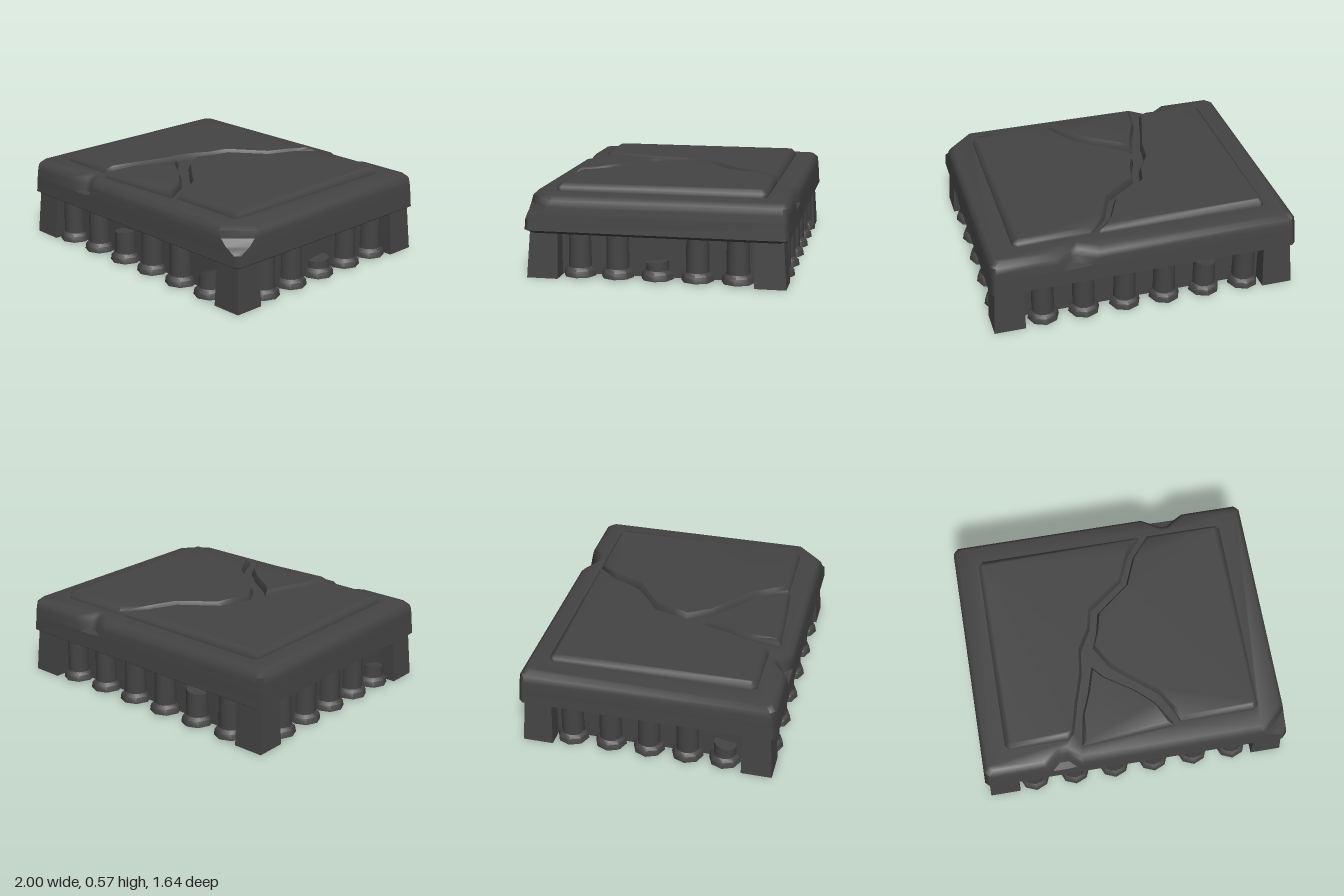
import * as THREE from 'three';
import { mergeGeometries, toCreasedNormals } from 'three/addons/utils/BufferGeometryUtils.js';

const stone = new THREE.MeshStandardMaterial({ color: 0x444444, side: THREE.DoubleSide });
stone.name = 'dark stone';

// Plan outline from [x, z] pairs, counter-clockwise seen from above (stored as x, -z)
function outline(pairs) {
  const pts = pairs.map(([x, z]) => new THREE.Vector2(x, -z));
  return THREE.ShapeUtils.isClockWise(pts) ? pts.reverse() : pts;
}

// Move each outline point inwards by depth(point), limiting sharp corners
function inset(pts, depth) {
  const n = pts.length;
  const normal = (a, b) => new THREE.Vector2(a.y - b.y, b.x - a.x).normalize();
  return pts.map((p, i) => {
    const n1 = normal(pts[(i + n - 1) % n], p);
    const n2 = normal(p, pts[(i + 1) % n]);
    const k = depth(p) / Math.max(1 + n1.dot(n2), 0.4);
    return n1.add(n2).multiplyScalar(k).add(p);
  });
}

// Area-weighted normals, kept sharp where faces meet at more than the angle
function softBevels(geometry, angle) {
  const p = geometry.attributes.position, shared = new Map(), faces = [], normals = [];
  const key = (i) => [p.getX(i), p.getY(i), p.getZ(i)].map((v) => Math.round(v * 1e4)).join();
  for (let i = 0; i < p.count; i += 3) {
    const [a, b, c] = [0, 1, 2].map((k) => new THREE.Vector3().fromBufferAttribute(p, i + k));
    const face = b.sub(a).cross(c.sub(a));
    faces.push(face);
    for (let k = 0; k < 3; k++) shared.set(key(i + k), [...(shared.get(key(i + k)) || []), face]);
  }
  for (let i = 0; i < p.count; i++) {
    const own = faces[Math.floor(i / 3)], sum = new THREE.Vector3();
    for (const f of shared.get(key(i))) if (f === own || f.angleTo(own) < angle) sum.add(f);
    normals.push(...sum.normalize().toArray());
  }
  geometry.setAttribute('normal', new THREE.Float32BufferAttribute(normals, 3));
  return geometry;
}

// Open-bottomed shell through level rings [{ y, pts }], optionally capped on top
function loft(rings, { holes = [], capped = true, crease = 0.45 } = {}) {
  const pos = [];
  for (let r = 0; r < rings.length - 1; r++) {
    const a = rings[r], b = rings[r + 1], n = a.pts.length;
    for (let i = 0; i < n; i++) {
      const j = (i + 1) % n;
      const v = [[a, i], [a, j], [b, j], [a, i], [b, j], [b, i]];
      for (const [ring, k] of v) pos.push(ring.pts[k].x, ring.y, -ring.pts[k].y);
    }
  }
  const sides = new THREE.BufferGeometry();
  sides.setAttribute('position', new THREE.Float32BufferAttribute(pos, 3));
  const parts = [sides];
  if (capped) {
    const top = rings[rings.length - 1];
    const shape = new THREE.Shape(top.pts);
    shape.holes = holes.map((h) => new THREE.Path(h));
    const cap = new THREE.ShapeGeometry(shape).rotateX(-Math.PI / 2).translate(0, top.y, 0).toNonIndexed();
    cap.deleteAttribute('uv');
    cap.deleteAttribute('normal');
    parts.push(cap);
  }
  return softBevels(mergeGeometries(parts), crease);
}

function add(parent, name, geometry) {
  const mesh = new THREE.Mesh(geometry, stone);
  mesh.name = name;
  parent.add(mesh);
}

// Plan rectangle
const rect = (x0, x1, z0, z1) => outline([[x0, z0], [x1, z0], [x1, z1], [x0, z1]]);

// Slab outline at one level: edge inset i, corner cut c, notch depth n, notch width w
function slabRing(y, i, c, n, w) {
  const W = 1 - i, D = 0.82 - i;
  const pts = [
    [W, D - c], [W, -D + 0.03], [W - 0.03, -D],
    [0.45 + 0.15 * w, -D], [0.48, -D + n], [0.43, -D + n], [0.45 - 0.15 * w, -D],
    [-W + 0.03, -D], [-W, -D + 0.03], [-W, D - 0.03], [-W + 0.03, D],
    [-0.475 - 0.125 * w, D], [-0.5, D - n], [-0.44, D - n], [-0.475 + 0.125 * w, D],
    [W - c, D],
  ].map(([x, z]) => new THREE.Vector2(x, -z));
  return { y, pts };
}

// Small pillar with a flared foot; h is the shaft top, slope tilts a broken top
function makePillar(h, slope) {
  const pillar = new THREE.Group();
  pillar.name = 'pillar';
  const foot = [[0.102, 0.01], [0.096, 0.048], [0.076, 0.068]].map(([r, y]) => new THREE.Vector2(r, y));
  add(pillar, 'pillarFoot', toCreasedNormals(new THREE.LatheGeometry(foot, 8), 0.9));
  const tilt = (g) => {
    const p = g.attributes.position;
    for (let i = 0; i < p.count; i++) if (p.getY(i) > h - 0.001) p.setY(i, h + slope * p.getX(i));
    return g;
  };
  const shaft = new THREE.CylinderGeometry(0.07, 0.074, h - 0.04, 12, 1, true).translate(0, (h + 0.04) / 2, 0);
  add(pillar, 'pillarShaft', tilt(shaft));
  if (h < 0.28) {
    const cap = tilt(new THREE.CircleGeometry(0.07, 12).rotateX(-Math.PI / 2).translate(0, h, 0));
    cap.computeVertexNormals();
    add(pillar, 'brokenTop', cap);
  }
  return pillar;
}

export function createModel() {
  const model = new THREE.Group();
  model.name = 'crackedStoneAltar';

  // Raised top panel, split in three by the crack
  const leftPiece = outline([
    [-0.8, -0.66], [0.27, -0.66], [0.17, -0.54], [0.09, -0.36], [-0.14, -0.19], [-0.17, -0.06], [-0.25, 0.08],
    [-0.27, 0.24], [-0.33, 0.43], [-0.38, 0.62], [-0.42, 0.66], [-0.8, 0.66], [-0.83, 0.63], [-0.83, -0.63],
  ]);
  const rightPiece = outline([
    [0.32, -0.66], [0.79, -0.66], [0.82, -0.63], [0.82, 0.63], [0.79, 0.66], [0.31, 0.66], [0.27, 0.57],
    [0.2, 0.45], [0.05, 0.33], [-0.08, 0.22], [-0.17, 0.07], [-0.13, -0.03], [-0.1, -0.16], [0.12, -0.33], [0.2, -0.52],
  ]);
  const frontPiece = outline([
    [-0.2, 0.2], [-0.13, 0.28], [0.05, 0.4], [0.17, 0.51], [0.27, 0.68], [-0.34, 0.72], [-0.31, 0.52], [-0.25, 0.37],
  ]);
  const pieces = { leftPanelPiece: leftPiece, rightPanelPiece: rightPiece, frontPanelPiece: frontPiece };
  // Wide bevel on the panel rim, narrow one along the cracks
  const bevel = (p) => (Math.abs(p.x) > 0.78 || Math.abs(p.y) > 0.65 ? 0.028 : 0.015);
  for (const [name, pts] of Object.entries(pieces)) {
    add(model, name, loft([
      { y: 0.52, pts },
      { y: 0.543, pts: inset(pts, () => 0.003) },
      { y: 0.568, pts: inset(pts, bevel) },
    ], { crease: 0.95 }));
  }

  // Hollow slab with soft bevels, two chipped edges and a broken corner
  const levels = [
    [0.28, 0.03, 0.03, 0, 0.6], [0.3, 0, 0.03, 0, 0.6], [0.37, 0.005, 0.03, 0, 0.6], [0.4, 0.006, 0.08, 0, 0.6],
    [0.41, 0.007, 0.1, 0.045, 0.65], [0.45, 0.01, 0.14, 0.06, 0.8], [0.49, 0.015, 0.16, 0.07, 0.95],
    [0.52, 0.045, 0.14, 0.075, 1],
  ];
  const slabRings = levels.map((l) => slabRing(...l));
  add(model, 'slab', loft(slabRings, { holes: Object.values(pieces), crease: 0.85 }));

  // Wall behind the pillars
  const wall = rect(-0.87, 0.87, -0.69, 0.69);
  add(model, 'innerWall', loft([{ y: 0.012, pts: wall }, { y: 0.29, pts: wall }], { capped: false }));

  // Corner posts, tapered on their outer sides
  for (const sx of [-1, 1]) for (const sz of [-1, 1]) {
    const post = (o) => rect(sx * 0.79, sx * (0.99 - o), sz * 0.61, sz * (0.805 - o));
    add(model, 'cornerPost', loft([{ y: 0, pts: post(0) }, { y: 0.3, pts: post(0.02) }]));
  }

  // Pillar rows; broken ones are listed by index as [top height, slope]
  const xs = [-0.68, -0.41, -0.14, 0.125, 0.395, 0.66];
  const zs = [-0.5, -0.25, 0, 0.25, 0.49];
  const row = (spots, broken, place) => spots.forEach((s, i) => {
    const pillar = makePillar(...(broken[i] || [0.3, 0]));
    place(pillar, s);
    model.add(pillar);
  });
  row(xs, { 2: [0.21, 0.1], 5: [0.16, 0.43] }, (p, x) => p.position.set(x, 0, 0.72));
  row(xs, { 1: [0.23, 0.15] }, (p, x) => p.position.set(x, 0, -0.72));
  const side = (s) => (p, z) => {
    p.position.set(s * 0.89, 0, z);
    p.rotation.y = Math.PI / 2;
  };
  row(zs, { 2: [0.12, 0.1] }, side(1));
  row(zs, { 4: [0.14, 0.2] }, side(-1));

  return model;
}
